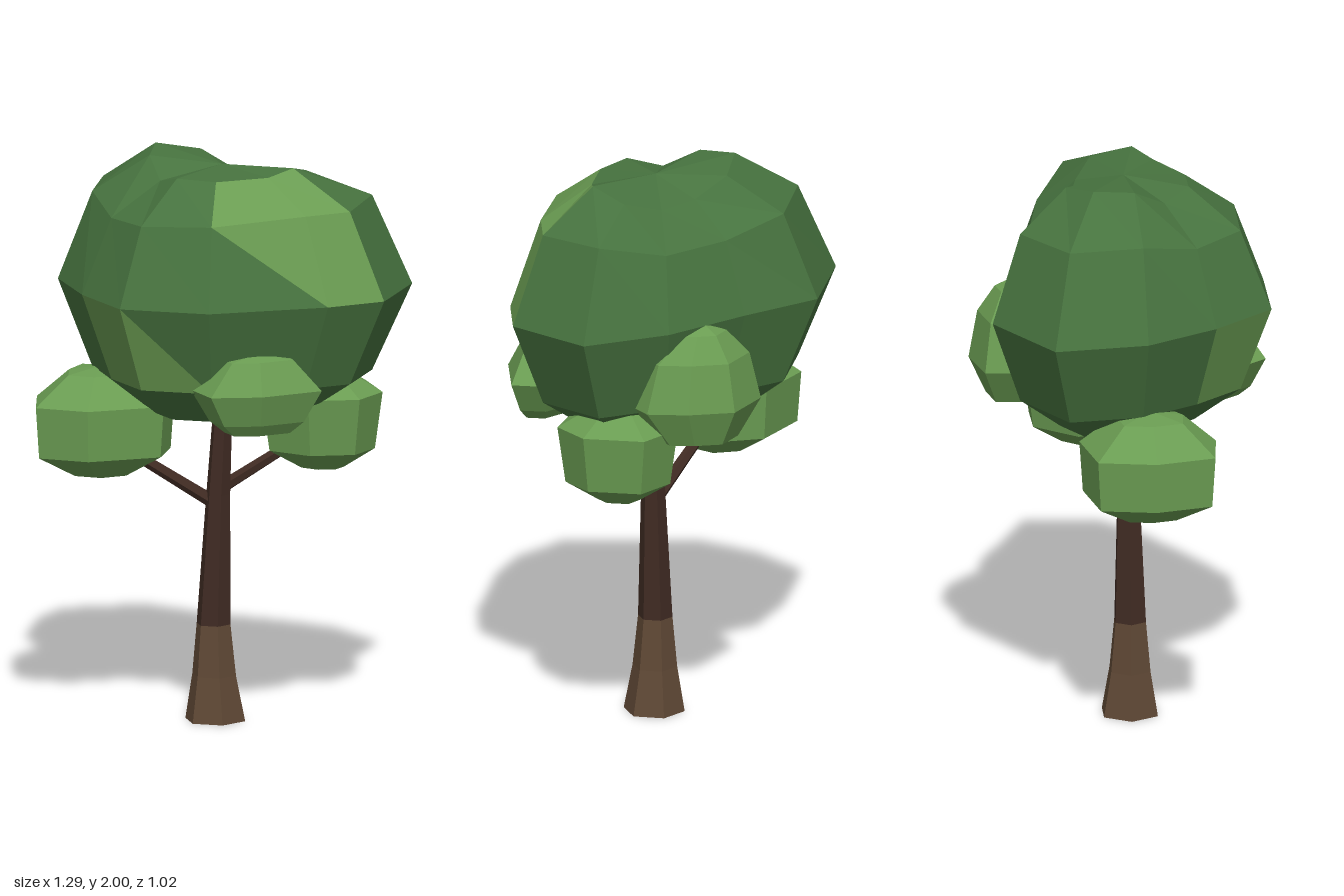
import * as THREE from 'three';

const mat = (name, color) => Object.assign(new THREE.MeshStandardMaterial({ color, flatShading: true }), { name });

// Skins a stack of [y, scale, dx, dz] rings (bottom to top) made from one outline and closes both ends.
// y may be a list with one height per corner.
// pick(ring, segment, triangle) chooses the material index of each side triangle.
function shell(outline, centre, rings, bottomY, topY, pick = () => 0) {
  const n = outline.length;
  const [cx, cz] = centre;
  const faces = [[], []];
  const loops = rings.map(([y, s, dx = 0, dz = 0]) =>
    outline.map(([x, z], i) => [cx + (x - cx) * s + dx, Array.isArray(y) ? y[i] : y, cz + (z - cz) * s + dz]));
  const pole = ([, , dx = 0, dz = 0], y) => [cx + dx, y, cz + dz];
  const low = pole(rings[0], bottomY);
  const high = pole(rings[rings.length - 1], topY);
  const top = loops[loops.length - 1];
  for (let i = 0; i < n; i++) {
    const j = (i + 1) % n;
    faces[0].push(...low, ...loops[0][i], ...loops[0][j]);
    for (let r = 0; r < loops.length - 1; r++) {
      const a = loops[r][i], b = loops[r][j], c = loops[r + 1][i], d = loops[r + 1][j];
      faces[pick(r, i, 0)].push(...a, ...c, ...d);
      faces[pick(r, i, 1)].push(...a, ...d, ...b);
    }
    faces[0].push(...high, ...top[j], ...top[i]);
  }
  const geo = new THREE.BufferGeometry();
  geo.setAttribute('position', new THREE.Float32BufferAttribute([...faces[0], ...faces[1]], 3));
  geo.addGroup(0, faces[0].length / 3, 0);
  if (faces[1].length) geo.addGroup(faces[0].length / 3, faces[1].length / 3, 1);
  geo.computeVertexNormals();
  return geo;
}

export function createModel() {
  const tree = new THREE.Group();
  tree.name = 'tree';
  const darkLeaf = mat('dark leaf green', 0x47733f);
  const lightLeaf = mat('light leaf green', 0x6a9c52);
  const bark = mat('brown bark', 0x5f4835);
  const darkBark = mat('dark brown bark', 0x402b23);

  const add = (name, geo, ...materials) => {
    const mesh = new THREE.Mesh(geo, materials);
    mesh.name = name;
    tree.add(mesh);
    return mesh;
  };

  // Trunk: flared six-sided base and a slimmer, slightly leaning upper part
  const circle = Array.from({ length: 6 }, (_, i) => {
    const a = (i / 6) * Math.PI * 2 + 0.08;
    return [Math.cos(a), Math.sin(a)];
  });
  add('trunkBase', shell(circle, [0, 0],
    [[0, 0.108, -0.018, 0.02], [0.16, 0.079, -0.022, 0.02], [0.34, 0.061, -0.024, 0.02]], 0, 0.34), bark);
  add('trunkUpper', shell(circle, [0, 0],
    [[0.34, 0.061, -0.024, 0.02], [0.8, 0.043, -0.008, 0.017], [1.15, 0.033, 0.01, 0.015]], 0.34, 1.15), darkBark);

  // Branches reaching into the side clumps
  const branch = (name, from, to) => {
    const a = new THREE.Vector3(...from), b = new THREE.Vector3(...to);
    const dir = b.clone().sub(a);
    const mesh = add(name, new THREE.CylinderGeometry(0.019, 0.024, dir.length(), 6), darkBark, darkBark, darkBark);
    mesh.position.copy(a).add(b).multiplyScalar(0.5);
    mesh.quaternion.setFromUnitVectors(new THREE.Vector3(0, 1, 0), dir.normalize());
  };
  branch('rightBranch', [-0.01, 0.76, 0.015], [-0.32, 0.94, 0.03]);
  branch('leftBranch', [0, 0.82, 0.01], [0.28, 1.0, -0.09]);

  // Main crown: a shallow valley crosses its top, and a few facets at the front are lighter
  const crown = [[0.61, 0.16], [0.44, 0.3], [0.06, 0.5], [-0.26, 0.48], [-0.44, 0.26], [-0.58, 0],
    [-0.6, -0.33], [-0.27, -0.5], [0.03, -0.41], [0.36, -0.33], [0.64, -0.17]];
  const shoulderY = [1.84, 1.84, 1.82, 1.81, 1.8, 1.85, 1.85, 1.84, 1.79, 1.79, 1.85];
  const topY = [1.975, 1.95, 1.945, 1.95, 1.92, 1.985, 2, 1.97, 1.91, 1.9, 1.94];
  const lightFacet = (ring, seg, tri) => {
    if (ring === 3) return seg <= 1 ? 1 : 0;
    if (ring === 2) return seg === 0 || (seg === 1 && tri === 0) ? 1 : 0;
    if (ring === 1) return seg === 3 || (seg === 2 && tri === 1) ? 1 : 0;
    return 0;
  };
  add('crown', shell(crown, [0, 0],
    [[1.1, 0.48], [1.23, 0.79], [1.535, 1], [shoulderY, 0.79], [topY, 0.44]], 1.08, 1.965, lightFacet),
  darkLeaf, lightLeaf);

  // Small leaf clumps around the crown
  const clumps = [
    ['rightClump', [-0.42, 0.03], [[0.86, 0.4], [0.94, 0.95], [1.12, 1], [1.22, 0.5]], 0.84, 1.24,
      [[-0.18, -0.06], [-0.18, 0.12], [-0.42, 0.26], [-0.61, 0.23], [-0.65, 0.02], [-0.6, -0.18], [-0.36, -0.21]]],
    ['leftClump', [0.34, -0.1], [[0.89, 0.35], [0.96, 0.87], [1.16, 1], [1.22, 0.5]], 0.88, 1.24,
      [[0.55, -0.1], [0.5, 0.05], [0.33, 0.11], [0.15, 0.04], [0.12, -0.14], [0.27, -0.3], [0.45, -0.29]]],
    ['frontClump', [0.2, 0.34], [[1.09, 0.5], [1.13, 0.72], [1.24, 1], [1.35, 0.55]], 1.08, 1.37,
      [[0.42, 0.31], [0.24, 0.46], [0.07, 0.51], [-0.03, 0.38], [0.03, 0.22], [0.2, 0.17], [0.36, 0.2]]],
    ['backClump', [0.2, -0.36], [[1.12, 0.6], [1.25, 1], [1.42, 0.8], [1.51, 0.4]], 1.11, 1.54,
      [[0.42, -0.28], [0.38, -0.18], [0.15, -0.17], [0, -0.28], [0.03, -0.48], [0.22, -0.51], [0.34, -0.4]]],
  ];
  for (const [name, centre, rings, lowY, highY, outline] of clumps) {
    add(name, shell(outline, centre, rings, lowY, highY), lightLeaf);
  }
  return tree;
}
